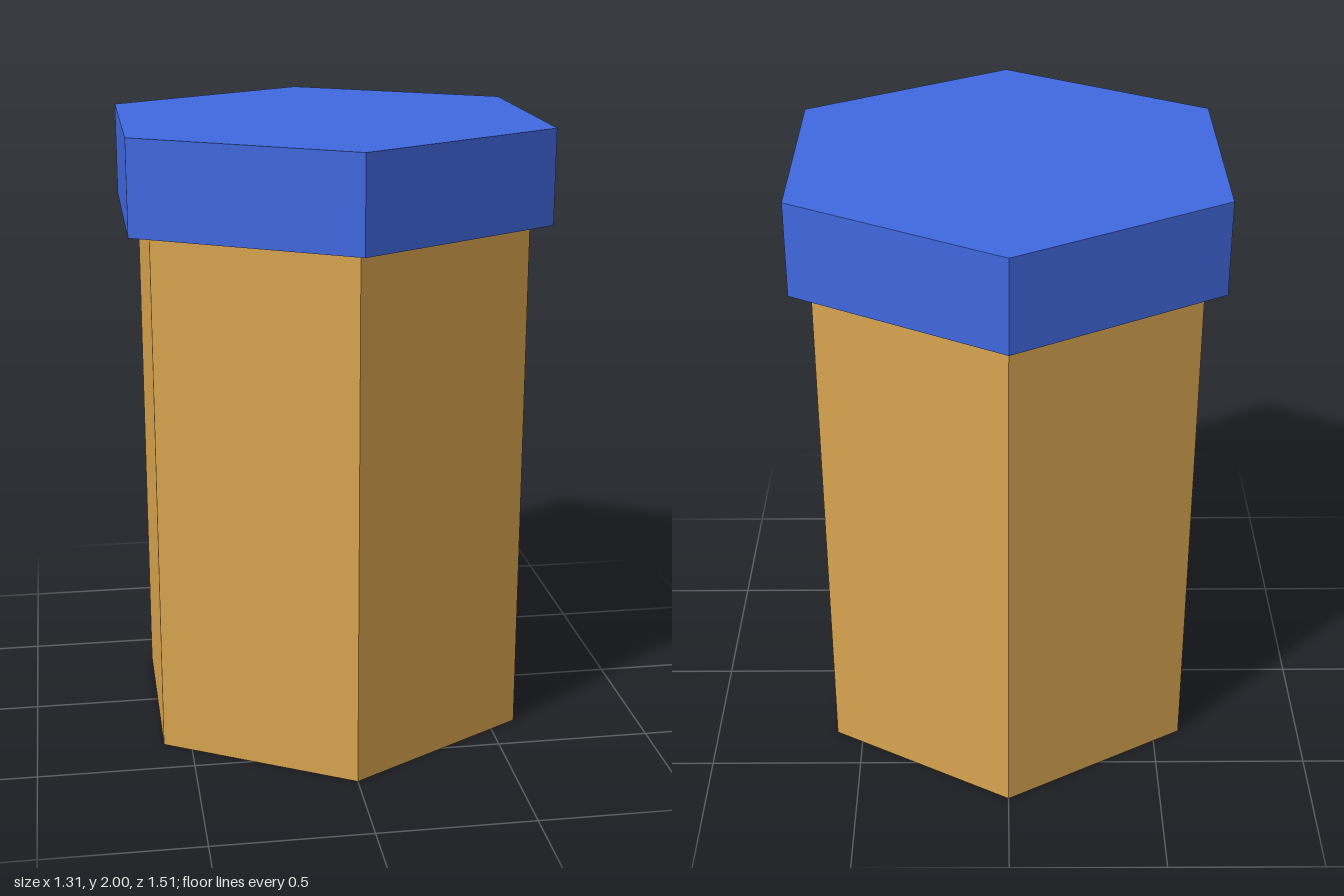
import * as THREE from 'three';

// Six-sided prism standing on height y, with corners pointing to +z and -z
function hexPrism(name, radius, y, height, color) {
  const geometry = new THREE.CylinderGeometry(radius, radius, height, 6);
  const material = new THREE.MeshStandardMaterial({ color, flatShading: true });
  const mesh = new THREE.Mesh(geometry, material);
  mesh.name = name;
  mesh.position.y = y + height / 2;
  return mesh;
}

export function createModel() {
  const model = new THREE.Group();
  model.name = 'hexagonalJar';
  model.add(
    hexPrism('body', 0.68, 0, 1.7, 0xdaa650),
    hexPrism('lid', 0.755, 1.7, 0.3, 0x4169e1),
  );
  return model;
}
